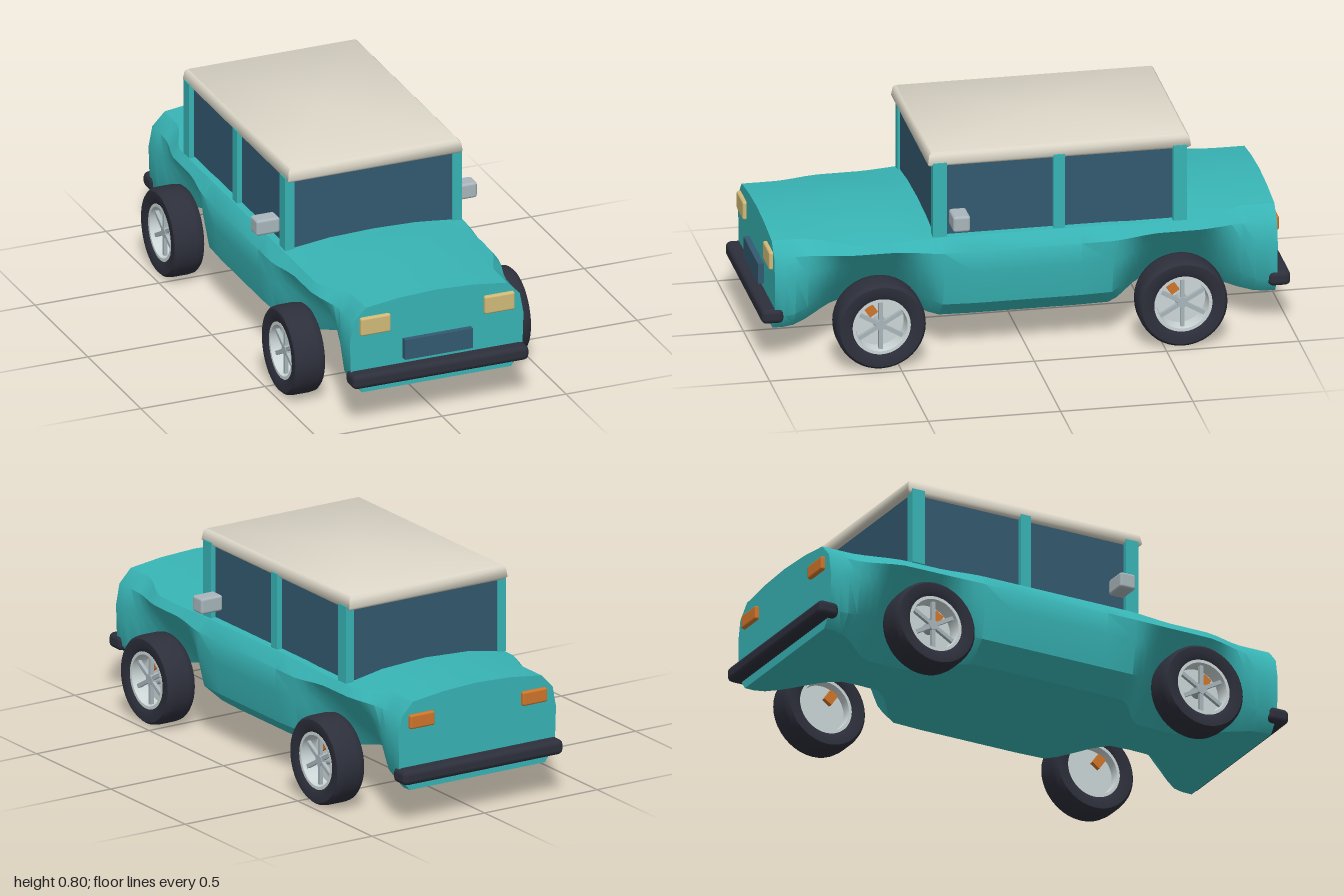
import * as THREE from 'three';
import { toCreasedNormals } from 'three/addons/utils/BufferGeometryUtils.js';
import { RoundedBoxGeometry } from 'three/addons/geometries/RoundedBoxGeometry.js';

const mat = (name, color, side = THREE.FrontSide) => {
  const m = new THREE.MeshStandardMaterial({ color, side });
  m.name = name;
  return m;
};

// Skin a list of rings (same point count, anticlockwise seen from +z) and cap both ends
function loft(rings, capHeight) {
  const n = rings[0].length, pos = rings.flat(2), idx = [];
  for (let r = 0; r < rings.length - 1; r++) {
    for (let i = 0; i < n; i++) {
      const a = r * n + i, b = r * n + (i + 1) % n;
      idx.push(a, b, b + n, a, b + n, a + n);
    }
  }
  const c = rings.length * n, last = c - n;
  pos.push(0, capHeight, rings[0][0][2], 0, capHeight, rings[rings.length - 1][0][2]);
  for (let i = 0; i < n; i++) {
    const j = (i + 1) % n;
    idx.push(c, j, i, c + 1, last + i, last + j);
  }
  const g = new THREE.BufferGeometry();
  g.setAttribute('position', new THREE.Float32BufferAttribute(pos, 3));
  g.setIndex(idx);
  return g;
}

export function createModel() {
  const car = new THREE.Group();
  const paint = mat('teal paint', 0x38b4b5);
  const cream = mat('cream roof', 0xdcd7c8);
  const glass = mat('dark blue glass', 0x335a70);
  const rubber = mat('black rubber', 0x2d2f3b);
  const alloy = mat('light alloy', 0xccd6d7, THREE.DoubleSide);
  const silver = mat('silver', 0xa9b6bb);
  const lamp = mat('headlight yellow', 0xd2ba78);
  const amber = mat('amber', 0xd0762b);

  const add = (name, geo, material, x = 0, y = 0, z = 0, parent = car) => {
    const m = new THREE.Mesh(geo, material);
    m.name = name;
    m.position.set(x, y, z);
    parent.add(m);
    return m;
  };
  const rbox = (w, h, d, r) => new RoundedBoxGeometry(w, h, d, 2, r);

  // Half cross-sections from sill to top: nose, wheel arch and door
  const nose = [[0.30, 0.13], [0.345, 0.19], [0.35, 0.34], [0.335, 0.42], [0.285, 0.472], [0.15, 0.489], [0, 0.496]];
  const arch = [[0.10, 0.145], [0.23, 0.27], [0.32, 0.37], [0.378, 0.425], [0.355, 0.457], [0.19, 0.487], [0, 0.497]];
  const door = [[0.30, 0.13], [0.378, 0.20], [0.40, 0.33], [0.40, 0.415], [0.362, 0.465], [0.17, 0.484], [0, 0.488]];
  const ring = (half, z) => [
    ...half.map(([x, y]) => [x, y, z]),
    ...half.slice(0, -1).reverse().map(([x, y]) => [-x, y, z]),
  ];

  // Body: the lower points pinch in and up around each axle, the shoulder follows more tightly
  const zs = [0.95, 0.91, 0.87, 0.82, 0.78, 0.74, 0.70, 0.65, 0.57, 0.49, 0.44, 0.40, 0.36, 0.32, 0.2];
  const section = z => {
    const ahead = z > 0.57, base = ahead ? nose : door;
    return base.map((p, i) => {
      const reach = ahead && i < 3 ? 0.34 : 0.27;
      const pinch = 1 - THREE.MathUtils.smoothstep(Math.abs(z - 0.57), 0.06, reach);
      return p.map((v, k) => v + (arch[i][k] - v) * pinch);
    });
  };
  const rings = [
    ...zs.map(z => ring(section(z), -z)),
    ...zs.slice().reverse().map(z => ring(section(z), z)),
  ];
  add('body', toCreasedNormals(loft(rings, 0.3), 0.65), paint);

  // Cabin glass and pillars
  add('cabinGlass', new THREE.BoxGeometry(0.67, 0.29, 0.945), glass, 0, 0.61, -0.127);
  for (const s of [-1, 1]) {
    for (const [z, name] of [[0.328, 'frontPillar'], [-0.123, 'middlePillar'], [-0.58, 'rearPillar']]) {
      const w = name === 'middlePillar' ? 0.042 : 0.052;
      add(name, new THREE.BoxGeometry(0.037, 0.3, w), paint, s * 0.3375, 0.61, z);
    }
  }

  // Soft-edged roof, stacked rectangles turned upright
  const slab = [[0.342, 0.745], [0.352, 0.755], [0.347, 0.789], [0.337, 0.799]].map(([x, y]) => {
    const d = x + 0.145;
    return [[x, -d, y], [x, d, y], [-x, d, y], [-x, -d, y]];
  });
  add('roof', toCreasedNormals(loft(slab, 0).rotateX(-Math.PI / 2), 1), cream, 0, 0, -0.125);

  // Bumpers, lamps, plate and mirrors
  for (const s of [-1, 1]) {
    add(s > 0 ? 'frontBumper' : 'rearBumper', rbox(0.71, 0.058, 0.085, 0.02), rubber, 0, 0.193, s * 0.9575);
    add('headlight', rbox(0.122, 0.072, 0.03, 0.008), lamp, s * 0.25, 0.4, 0.95);
    add('tailLight', rbox(0.11, 0.055, 0.03, 0.008), amber, s * 0.25, 0.397, -0.95);
    add('mirror', rbox(0.095, 0.062, 0.065, 0.01), silver, s * 0.3975, 0.545, 0.262);
  }
  add('numberPlate', new THREE.BoxGeometry(0.274, 0.08, 0.025), glass, 0, 0.282, 0.96);

  // Wheels, with each axle along local y before turning
  const turned = g => g.rotateZ(-Math.PI / 2);
  const lathe = (points, crease) => turned(toCreasedNormals(
    new THREE.LatheGeometry(points.map(p => new THREE.Vector2(...p)), 40), crease));
  const tyre = lathe([[0.108, -0.05], [0.125, -0.06], [0.158, -0.06], [0.167, -0.05], [0.17, -0.03],
    [0.17, 0.03], [0.167, 0.05], [0.158, 0.06], [0.125, 0.06], [0.108, 0.05], [0.108, -0.05]], 0.7);
  const rim = lathe([[0.098, -0.052], [0.11, -0.052], [0.11, 0.052], [0.098, 0.052],
    [0.095, 0.035], [0.095, -0.035], [0.098, -0.052]], 0.5);
  const disc = turned(new THREE.CylinderGeometry(0.096, 0.096, 0.008, 40));
  const hub = turned(new THREE.CylinderGeometry(0.02, 0.024, 0.05, 16));
  for (const s of [-1, 1]) {
    for (const z of [-0.57, 0.57]) {
      const wheel = new THREE.Group();
      wheel.name = z > 0 ? 'frontWheel' : 'rearWheel';
      wheel.position.set(s * 0.415, 0.17, z);
      if (s < 0) wheel.rotation.y = Math.PI;
      car.add(wheel);
      add('tyre', tyre, rubber, 0, 0, 0, wheel);
      add('rim', rim, alloy, 0, 0, 0, wheel);
      add('brakeDisc', disc, alloy, -0.012, 0, 0, wheel);
      add('hub', hub, silver, 0.014, 0, 0, wheel);
      for (let i = 0; i < 6; i++) {
        const spoke = new THREE.BoxGeometry(0.014, 0.088, 0.015).translate(0.03, 0.056, 0).rotateX(i * Math.PI / 3);
        add('spoke', spoke, silver, 0, 0, 0, wheel);
      }
      const caliper = new THREE.BoxGeometry(0.036, 0.05, 0.036).rotateX(s * 0.6);
      add('brakeCaliper', caliper, amber, -0.016, 0.05, s * 0.033, wheel);
    }
  }
  return car;
}
